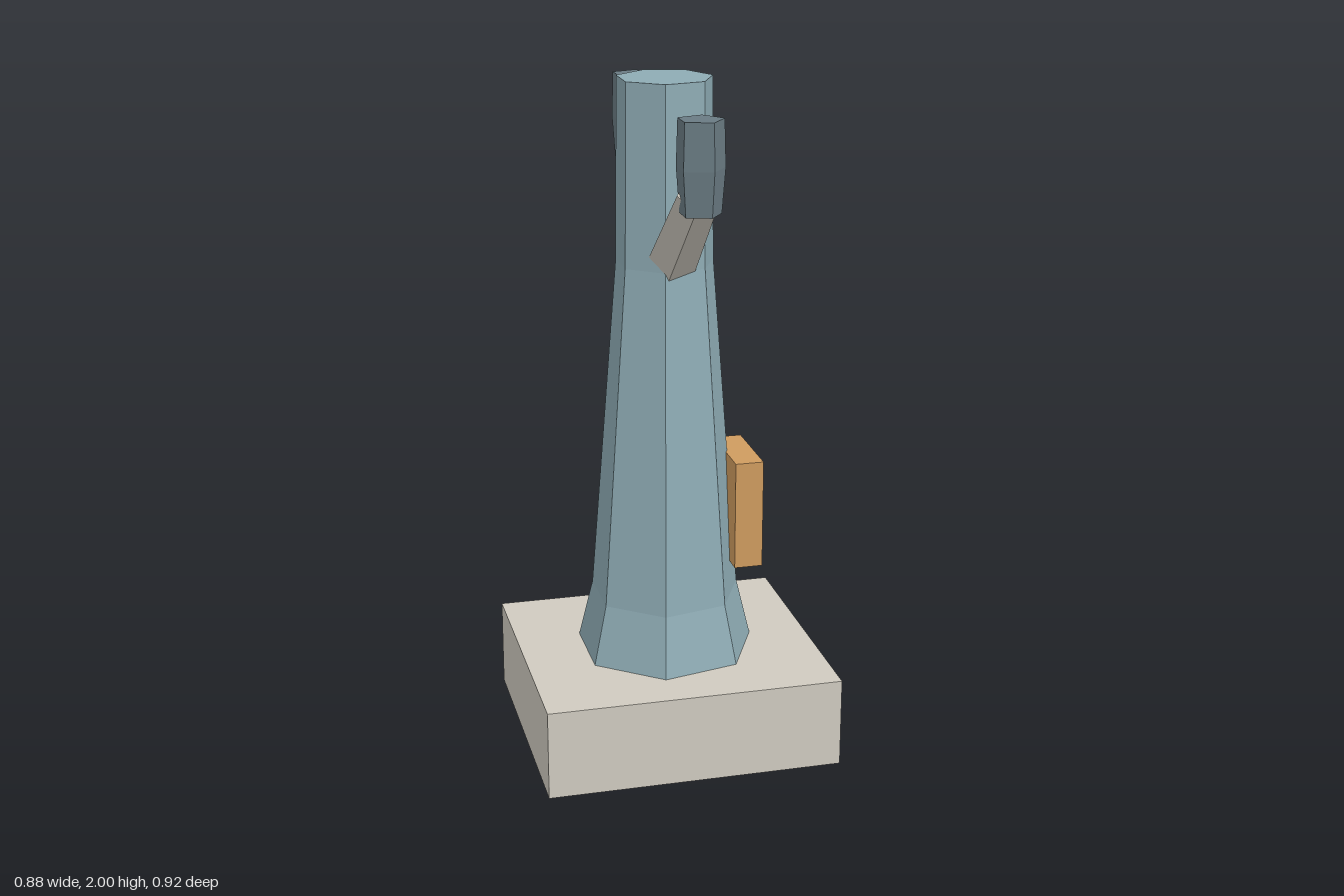
import * as THREE from 'three';

const flat = (name, color) => {
  const m = new THREE.MeshStandardMaterial({ color, flatShading: true });
  m.name = name;
  return m;
};

export function createModel() {
  const stone = flat('pale stone', 0xcfcabf);
  const blue = flat('grey blue', 0x8eabb4);
  const slate = flat('dark slate', 0x6a7b83);
  const amber = flat('amber', 0xce9b5f);

  const model = new THREE.Group();
  model.name = 'tower';

  const add = (name, geometry, material, x = 0, y = 0, z = 0) => {
    const mesh = new THREE.Mesh(geometry, material);
    mesh.name = name;
    mesh.position.set(x, y, z);
    model.add(mesh);
    return mesh;
  };

  // Closed faceted solid from [radius, height] pairs, one corner facing +x
  const faceted = (profile, sides) => {
    const points = [[0, profile[0][1]], ...profile, [0, profile.at(-1)[1]]];
    return new THREE.LatheGeometry(
      points.map(([r, y]) => new THREE.Vector2(r, y)), sides, Math.PI / 2);
  };

  // Plinth and tapering seven-sided column with a flared foot
  add('plinth', new THREE.BoxGeometry(0.88, 0.27, 0.79), stone, 0, 0.135, 0);
  add('column', faceted([[0.27, 0.27], [0.226, 0.45], [0.145, 1.47], [0.14, 2]], 7), blue);

  // Box mounted on the column's left side
  add('sideBox', new THREE.BoxGeometry(0.085, 0.33, 0.25), amber, 0.2275, 0.71, 0);

  // Five-sided arms, the rear one turned half round, each ending in an upright pod
  const start = new THREE.Vector2(0.095, 1.5);
  const end = new THREE.Vector2(0.38, 1.745);
  const run = end.clone().sub(start);
  const middle = start.clone().add(end).multiplyScalar(0.5);
  const pod = faceted([[0.06, 1.695], [0.07, 1.82], [0.066, 1.95]], 5);
  for (const [side, sign] of [['front', 1], ['back', -1]]) {
    const arm = new THREE.CylinderGeometry(0.06, 0.073, run.length(), 5, 1, false, -Math.PI / 2);
    arm.rotateX(Math.atan2(run.x, run.y));
    if (sign < 0) arm.rotateY(Math.PI);
    add(side + 'Arm', arm, stone, 0, middle.y, sign * middle.x);
    add(side + 'Pod', pod, slate, 0, 0, sign * 0.395);
  }

  return model;
}
